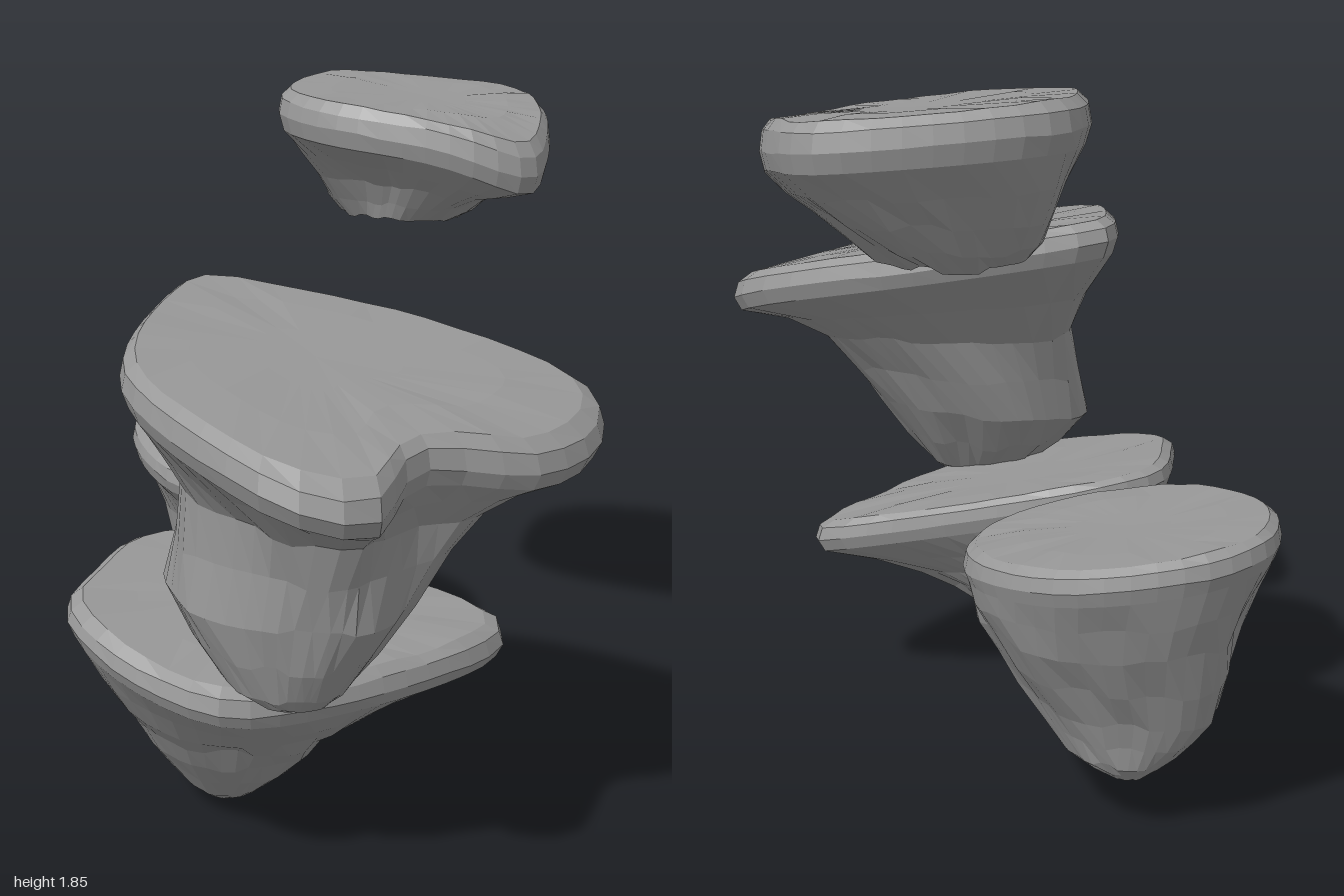
import * as THREE from 'three';

const SIDES = 40;

// Repeatable roughness in -1..1
function rough(a, b) {
  const s = Math.sin(a * 12.9898 + b * 78.233) * 43758.5453;
  return (s - Math.floor(s)) * 2 - 1;
}

// outline: plan of the rim as [x, z]; top + slope * z: the ground plane;
// droop: how far the front lip sags; dent: direction and depth of a hollow in the stem;
// stem: a few sections [xMin, xMax, zMin, zMax, y] running down to the tip.
function islandGeometry({ outline, top, slope, rim, droop, dent, stem }, seed) {
  const curve = new THREE.CatmullRomCurve3(
    outline.map(([x, z]) => new THREE.Vector3(x, 0, z)), true, 'centripetal');
  const edge = curve.getSpacedPoints(SIDES).slice(0, SIDES);
  const box = new THREE.Box3().setFromPoints(edge);
  const mid = box.getCenter(new THREE.Vector3());
  const half = box.getSize(new THREE.Vector3()).multiplyScalar(0.5);
  const sag = (z) => droop * Math.max(0, (z - mid.z) / half.z) ** 4;
  const rings = [];

  // Sloping top and rounded rim: [scale, drop below the ground plane]
  const caps = [[0, 0.012], [0.3, 0.01], [0.65, 0.006], [0.92, 0.006], [0.98, rim * 0.4], [1, rim]];
  for (const [s, drop] of caps) {
    rings.push(edge.map((p, i) => {
      const x = mid.x + (p.x - mid.x) * s, z = mid.z + (p.z - mid.z) * s;
      const bump = s > 0.5 ? rough((i >> 1) + seed, s) * 0.004 : 0;
      return [x, top + slope * z - sag(z) - drop + bump, z];
    }));
  }

  // Rocky underside: starts as the rim outline, turns round and level going down
  const rimSection = [mid.x - half.x * 0.97, mid.x + half.x * 0.97,
    mid.z - half.z * 0.97, mid.z + half.z * 0.97, top + slope * mid.z - rim * 1.6];
  const sections = [rimSection, ...stem];
  const between = new THREE.CubicInterpolant(sections.map((_, i) => i), sections.flat(), 5);
  for (let k = 0; k <= stem.length; k += 0.5) {
    const [x0, x1, z0, z1, y] = between.evaluate(k);
    const cx = (x0 + x1) / 2, cz = (z0 + z1) / 2;
    const rx = (x1 - x0) / 2, rz = (z1 - z0) / 2;
    const tilt = Math.max(0, 1 - k / 1.5);
    const round = Math.min(1, k / 2);
    const fade = Math.min(1, k, rx / 0.2);
    const lump = 0.02 * fade;
    rings.push(edge.map((p, i) => {
      const u = (p.x - mid.x) / half.x, v = (p.z - mid.z) / half.z;
      const a = Math.atan2(v, u);
      const hollow = dent[1] * fade * Math.max(0, Math.cos(a - dent[0])) ** 6;
      const wave = 1 - hollow
        + lump * (1.6 * Math.sin(5 * a + seed * 2 + k) + rough((i >> 1) + seed, k));
      const x = cx + rx * wave * THREE.MathUtils.lerp(u, Math.cos(a), round);
      const z = cz + rz * wave * THREE.MathUtils.lerp(v, Math.sin(a), round);
      const height = y + tilt * (slope * (z - cz) - sag(p.z));
      return [x, height + 0.6 * lump * rough(i >> 1, k + seed), z];
    }));
  }

  // Closed tip
  const [x0, x1, z0, z1, yTip] = stem[stem.length - 1];
  rings.push(edge.map(() => [(x0 + x1) / 2, yTip - 0.01, (z0 + z1) / 2]));

  const index = [];
  for (let k = 0; k < rings.length - 1; k++) {
    for (let i = 0; i < SIDES; i++) {
      const j = (i + 1) % SIDES;
      const a = k * SIDES + i, b = k * SIDES + j, c = a + SIDES, d = b + SIDES;
      if (k > 0) index.push(a, b, c);
      if (k < rings.length - 2) index.push(b, d, c);
    }
  }
  const geometry = new THREE.BufferGeometry();
  geometry.setAttribute('position', new THREE.Float32BufferAttribute(rings.flat(2), 3));
  geometry.setIndex(index);
  const faceted = geometry.toNonIndexed();
  faceted.computeVertexNormals();
  return faceted;
}

export function createModel() {
  const group = new THREE.Group();
  group.name = 'floatingIslands';
  const stone = new THREE.MeshStandardMaterial({ color: 0x989898, flatShading: true });
  stone.name = 'grey stone';

  const addIsland = (name, shape) => {
    const mesh = new THREE.Mesh(islandGeometry(shape, group.children.length + 1), stone);
    mesh.name = name;
    group.add(mesh);
  };

  addIsland('largeUpperIsland', {
    top: 1.395, slope: -0.18, rim: 0.07, droop: 0.045, dent: [-0.4, 0.12],
    outline: [[-0.28, -0.19], [-0.2, -0.13], [0.02, 0.27], [0.11, 0.79], [-0.02, 0.92], [-0.28, 0.95],
      [-0.57, 0.83], [-0.83, 0.92], [-0.96, 0.82], [-0.99, 0.67], [-0.88, 0.2], [-0.45, -0.13]],
    stem: [[-0.81, -0.13, 0.04, 0.8, 1.02], [-0.8, -0.29, 0.05, 0.73, 0.77],
      [-0.73, -0.46, 0.27, 0.6, 0.56], [-0.66, -0.56, 0.43, 0.53, 0.51]],
  });
  addIsland('lowerIsland', {
    top: 0.65, slope: -0.2, rim: 0.06, droop: 0.01, dent: [-0.8, 0.2],
    outline: [[-0.42, -0.31], [-0.26, -0.26], [0.01, 0.14], [0.14, 0.52], [0.08, 0.57],
      [-0.45, 0.53], [-0.78, 0.4], [-0.86, 0.12], [-0.8, -0.14], [-0.66, -0.22]],
    stem: [[-0.71, -0.1, -0.28, 0.42, 0.36], [-0.61, -0.2, -0.22, 0.29, 0.22],
      [-0.5, -0.29, -0.1, 0.13, 0.07], [-0.41, -0.34, -0.02, 0.04, 0.01]],
  });
  addIsland('backIsland', {
    top: 0.705, slope: -0.15, rim: 0.06, droop: 0.015, dent: [0, 0],
    outline: [[0.34, -0.96], [0.51, -0.9], [0.62, -0.77], [0.68, -0.59], [0.62, -0.35],
      [0.45, -0.19], [0.19, -0.17], [-0.1, -0.47], [-0.01, -0.78], [0.14, -0.91]],
    stem: [[0.03, 0.6, -0.88, -0.19, 0.54], [0.09, 0.48, -0.82, -0.28, 0.33],
      [0.18, 0.44, -0.73, -0.42, 0.2], [0.31, 0.4, -0.66, -0.57, 0.15]],
  });
  addIsland('highestIsland', {
    top: 1.805, slope: -0.09, rim: 0.075, droop: 0.075, dent: [Math.PI, 0.35],
    outline: [[0.63, -0.59], [0.81, -0.5], [1, -0.16], [0.89, 0.04], [0.68, 0.23],
      [0.48, 0.32], [0.35, 0.24], [0.19, -0.13], [0.21, -0.35], [0.3, -0.45]],
    stem: [[0.32, 0.84, -0.5, 0.13, 1.57], [0.42, 0.71, -0.42, -0.04, 1.46],
      [0.51, 0.62, -0.29, -0.17, 1.51]],
  });
  return group;
}
